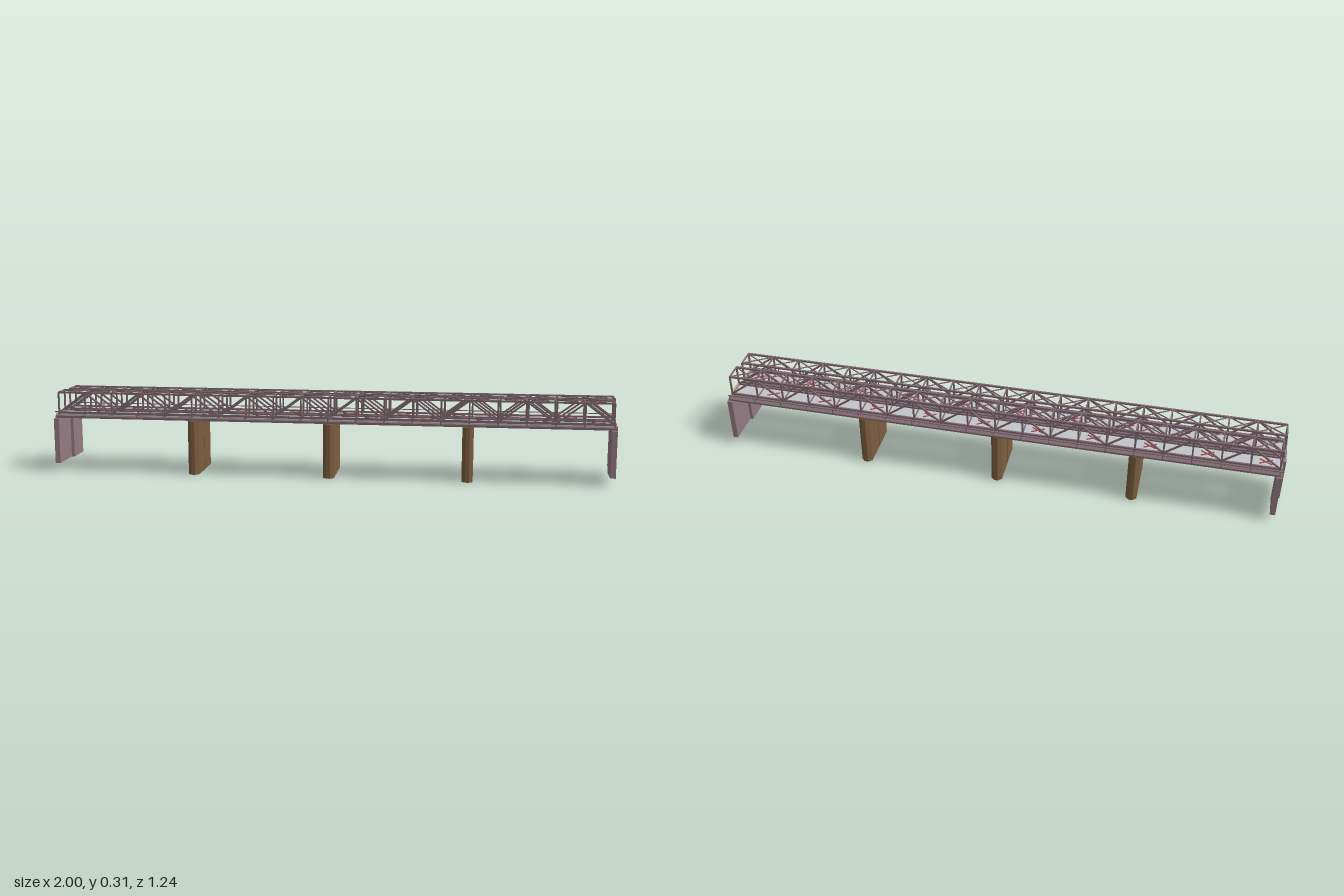
import * as THREE from 'three';
import { mergeGeometries } from 'three/addons/utils/BufferGeometryUtils.js';

const mat = (name, color) => {
  const m = new THREE.MeshStandardMaterial({ color });
  m.name = name;
  return m;
};

const HALF = 1.072;      // half length of a span
const PANELS = 20;
const STEP = (2 * HALF - 0.012) / PANELS;
const V_IN = 0.016, V_OUT = 0.083;   // truss planes, across the bridge
const Y_LOW = 0.229, Y_TOP = 0.309;  // chord heights

// Box given by its limits
function block(x0, x1, y0, y1, z0, z1) {
  return new THREE.BoxGeometry(x1 - x0, y1 - y0, z1 - z0)
    .translate((x0 + x1) / 2, (y0 + y1) / 2, (z0 + z1) / 2);
}

// Bar between two points
function bar(a, b, w = 0.006, h = w) {
  const from = new THREE.Vector3(...a), to = new THREE.Vector3(...b);
  const dir = to.clone().sub(from);
  const m = new THREE.Matrix4().lookAt(to, from, Math.abs(dir.y) > 0.99 * dir.length()
    ? new THREE.Vector3(1, 0, 0) : new THREE.Vector3(0, 1, 0));
  m.setPosition(from.add(to).multiplyScalar(0.5));
  return new THREE.BoxGeometry(w, h, dir.length()).applyMatrix4(m);
}

export function createModel() {
  const steel = mat('mauve steel', 0x7f6870);
  const mauve = mat('mauve concrete', 0x947a82);
  const brown = mat('brown masonry', 0x7b5d3f);
  const gray = mat('gray track bed', 0xc2c6c9);
  const tan = mat('tan sill', 0xc8ab8c);
  const red = mat('red brace', 0xa84848);

  const model = new THREE.Group();
  model.name = 'trussBridge';
  const bridge = new THREE.Group();
  bridge.name = 'bridgeOnDiagonal';
  bridge.rotation.y = -29.1 * Math.PI / 180;
  model.add(bridge);

  const add = (parent, name, material, parts) => {
    const mesh = new THREE.Mesh(mergeGeometries(parts), material);
    mesh.name = name;
    parent.add(mesh);
  };

  // One complete track: deck, trusses, handrail and end walls
  function track() {
    const g = new THREE.Group();
    const X = i => -HALF + 0.006 + i * STEP;

    add(g, 'deckPlate', steel, [block(-HALF, HALF, 0.216, 0.222, 0.008, 0.113)]);
    add(g, 'girders', steel, [0.011, 0.05, 0.083, 0.108]
      .map(z => block(-HALF, HALF, 0.213, 0.217, z - 0.003, z + 0.003)));
    add(g, 'trackBed', gray, [block(-HALF + 0.006, HALF - 0.006, 0.221, 0.226, V_IN, V_OUT)]);
    add(g, 'endSills', tan, [-1, 1].map(s =>
      block(-0.003, 0.003, 0.222, 0.233, V_IN, V_OUT).translate(s * (HALF - 0.003), 0, 0)));

    // Side trusses: chords, posts and alternating diagonals
    const sides = [];
    for (const z of [V_IN, V_OUT]) {
      for (const y of [Y_LOW, Y_TOP]) sides.push(bar([X(0), y, z], [X(PANELS), y, z], 0.007));
      for (let i = 0; i <= PANELS; i++) {
        sides.push(bar([X(i), 0.222, z], [X(i), Y_TOP, z], 0.006));
        if (i === PANELS) continue;
        const [ya, yb] = i % 2 ? [Y_TOP, Y_LOW] : [Y_LOW, Y_TOP];
        sides.push(bar([X(i), ya, z], [X(i + 1), yb, z], 0.006));
      }
    }
    add(g, 'sideTrusses', steel, sides);

    // Top struts with crossed bracing, floor beams and red floor braces
    const top = [], floor = [], redX = [];
    for (let i = 0; i <= PANELS; i++) {
      top.push(bar([X(i), Y_TOP, V_IN], [X(i), Y_TOP, V_OUT], 0.005));
      floor.push(bar([X(i), 0.227, V_IN], [X(i), 0.227, V_OUT], 0.005, 0.003));
      if (i === PANELS) continue;
      for (const [a, b] of [[V_IN, V_OUT], [V_OUT, V_IN]]) {
        top.push(bar([X(i), Y_TOP, a], [X(i + 1), Y_TOP, b], 0.0035));
        if (i % 2) redX.push(bar([X(i) + 0.03, 0.227, a * 0.7 + b * 0.3],
          [X(i + 1) - 0.03, 0.227, b * 0.7 + a * 0.3], 0.0045, 0.003));
      }
    }
    add(g, 'topBracing', steel, top);
    add(g, 'floorBeams', steel, floor);
    add(g, 'floorBraces', red, redX);

    // Low handrail along the outer walkway
    const rail = [bar([-HALF, 0.238, 0.111], [HALF, 0.238, 0.111], 0.003)];
    for (let i = 0; i <= PANELS; i++) rail.push(bar([X(i), 0.22, 0.111], [X(i), 0.238, 0.111], 0.003));
    add(g, 'handrail', steel, rail);

    // End walls under the deck; the forward one laps past the centre line
    add(g, 'abutments', mauve, [[-1.068, -0.0135], [1.066, 0.0135]].map(([x, inner]) =>
      block(x - 0.01, x + 0.01, 0.033, 0.21, inner, 0.115)));
    return g;
  }

  // Twin tracks, the second turned half round; each is shifted slightly lengthways
  for (const [name, turn, shift] of [['frontTrack', 0, -0.005], ['rearTrack', Math.PI, 0.005]]) {
    const t = track();
    t.name = name;
    t.rotation.y = turn;
    t.position.x = shift;
    bridge.add(t);
  }

  // Piers: two half slabs with tapered outer ends and a narrow joint between
  const plan = new THREE.Shape([[0.021, 0.002], [0.021, 0.096], [0.007, 0.109],
    [-0.007, 0.109], [-0.021, 0.096], [-0.021, 0.002]].map(p => new THREE.Vector2(...p)));
  const halfPier = new THREE.ExtrudeGeometry(plan, { depth: 0.21, bevelEnabled: false }).rotateX(-Math.PI / 2);
  const pierGeo = mergeGeometries([halfPier, halfPier.clone().rotateY(Math.PI)]);
  for (const x of [-0.531, -0.004, 0.524]) {
    const pier = new THREE.Mesh(pierGeo, brown);
    pier.name = 'pier';
    pier.position.x = x;
    bridge.add(pier);
  }
  return model;
}
